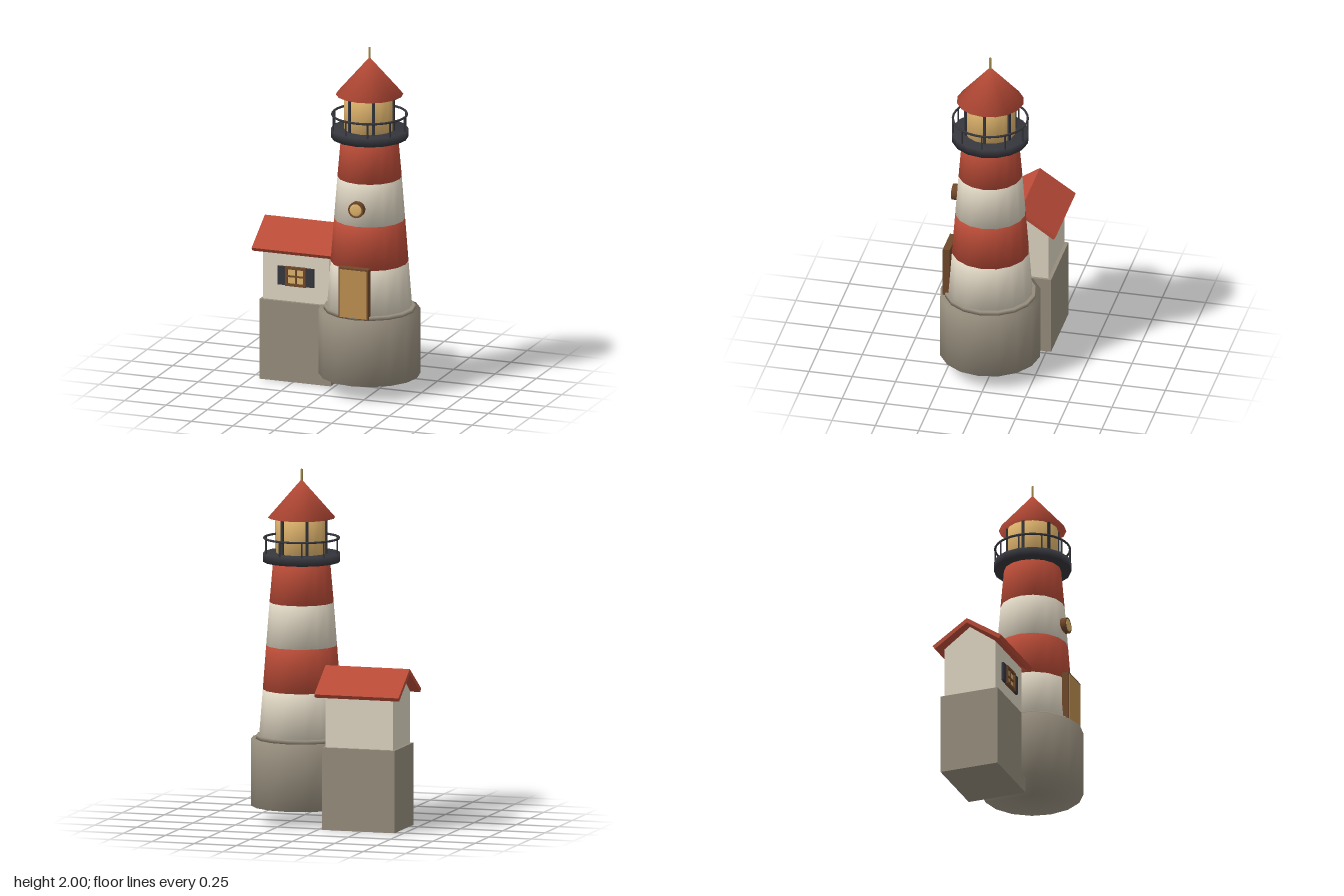
import * as THREE from 'three';
import { mergeVertices } from 'three/addons/utils/BufferGeometryUtils.js';

const mat = (name, color) => Object.assign(new THREE.MeshStandardMaterial({ color }), { name });

export function createModel() {
  const red = mat('red', 0xb94b37);
  const cream = mat('cream', 0xded5c2);
  const stone = mat('stone', 0x968d7d);
  const iron = mat('dark iron', 0x36373d);
  const glow = mat('warm glass', 0xdeb36c);
  const wood = mat('door wood', 0xbd8f50);
  const darkWood = mat('dark wood', 0x70482a);
  const brass = mat('brass', 0xab9350);

  const model = new THREE.Group();
  model.name = 'lighthouse';
  const tower = new THREE.Group();
  tower.name = 'tower';
  tower.position.set(0.196, 0, 0.023);
  const house = new THREE.Group();
  house.name = 'house';
  house.position.set(-0.236, 0, -0.105);
  model.add(tower, house);

  function add(parent, name, geometry, material, x = 0, y = 0, z = 0) {
    const mesh = new THREE.Mesh(geometry, material);
    mesh.name = name;
    mesh.position.set(x, y, z);
    parent.add(mesh);
    return mesh;
  }
  const box = (parent, name, material, w, h, d, x, y, z) =>
    add(parent, name, new THREE.BoxGeometry(w, h, d), material, x, y, z);

  // Closed round section with normals blended over its rims
  function round(name, material, rBottom, rTop, y0, y1, sides = 16) {
    let g = new THREE.CylinderGeometry(rTop, rBottom, y1 - y0, sides);
    g.deleteAttribute('normal');
    g.deleteAttribute('uv');
    g = mergeVertices(g, 1e-5);
    g.computeVertexNormals();
    return add(tower, name, g, material, 0, (y0 + y1) / 2, 0);
  }

  // Stone base and ledge
  round('base', stone, 0.286, 0.286, 0.09, 0.47);
  round('ledge', stone, 0.259, 0.257, 0.47, 0.491);

  // Striped shaft
  const levels = [0.48, 0.75, 1.0, 1.245, 1.475];
  const radii = [0.24, 0.219, 0.2, 0.181, 0.161];
  for (let i = 0; i < 4; i++) {
    round('band' + (i + 1), i % 2 ? red : cream, radii[i], radii[i + 1], levels[i], levels[i + 1]);
  }

  // Gallery deck and railing
  round('galleryDeck', iron, 0.218, 0.218, 1.475, 1.525);
  const rail = new THREE.TorusGeometry(0.211, 0.0065, 6, 32);
  rail.rotateX(Math.PI / 2);
  add(tower, 'handrail', rail, iron, 0, 1.609, 0);
  const post = new THREE.CylinderGeometry(0.005, 0.005, 0.09, 6);
  for (let i = 0; i < 10; i++) {
    const a = (i / 10) * Math.PI * 2;
    add(tower, 'railPost', post, iron, 0.211 * Math.cos(a), 1.565, 0.211 * Math.sin(a));
  }

  // Lantern room with six glazing bars
  round('lantern', glow, 0.143, 0.143, 1.52, 1.73);
  const bar = new THREE.BoxGeometry(0.016, 0.205, 0.016);
  for (let i = 0; i < 6; i++) {
    const a = (i / 6) * Math.PI * 2;
    add(tower, 'glazingBar', bar, iron, 0.143 * Math.cos(a), 1.625, 0.143 * Math.sin(a)).rotation.y = -a;
  }

  // Roof and finial
  round('lanternRoof', red, 0.19, 0, 1.725, 1.942);
  round('finial', brass, 0.007, 0.007, 1.925, 2.0, 8);

  // Door
  box(tower, 'doorFrame', darkWood, 0.18, 0.295, 0.04, 0, 0.6225, 0.234);
  box(tower, 'doorPanel', wood, 0.162, 0.28, 0.004, 0, 0.62, 0.2545);

  // Porthole
  const ring = new THREE.CylinderGeometry(0.046, 0.046, 0.04, 20);
  ring.rotateX(Math.PI / 2);
  add(tower, 'portholeFrame', ring, darkWood, 0, 1.102, 0.197);
  const pane = new THREE.SphereGeometry(0.036, 20, 6, 0, Math.PI * 2, 0, Math.PI / 2);
  pane.rotateX(Math.PI / 2);
  pane.scale(1, 1, 0.15);
  add(tower, 'portholeGlass', pane, glow, 0, 1.102, 0.2175);

  // House: solids with a constant gable section along x
  function gableSolid(name, material, points, length) {
    const shape = new THREE.Shape(points.map(([x, y]) => new THREE.Vector2(x, y)));
    const g = new THREE.ExtrudeGeometry(shape, { depth: length, bevelEnabled: false });
    g.translate(0, 0, -length / 2);
    g.rotateY(Math.PI / 2);
    return add(house, name, g, material);
  }
  box(house, 'foundation', stone, 0.43, 0.468, 0.344, 0, 0.234, 0);
  gableSolid('houseWalls', cream,
    [[-0.153, 0.465], [0.153, 0.465], [0.153, 0.765], [0, 0.877], [-0.153, 0.765]], 0.4);
  gableSolid('houseRoof', red,
    [[-0.207, 0.773], [-0.194, 0.753], [0, 0.884], [0.194, 0.753], [0.207, 0.773], [0, 0.911]], 0.498);

  // House window with shutters
  const win = new THREE.Group();
  win.name = 'window';
  win.position.set(0.001, 0.617, 0.153);
  house.add(win);
  box(win, 'windowGlass', glow, 0.11, 0.1, 0.008, 0, 0, 0.004);
  for (const s of [-1, 1]) {
    box(win, 'frameSide', darkWood, 0.014, 0.112, 0.02, s * 0.055, 0, 0.01);
    box(win, 'frameRail', darkWood, 0.124, 0.014, 0.02, 0, s * 0.049, 0.01);
    box(win, 'shutter', iron, 0.046, 0.108, 0.014, s * 0.086, 0, 0.007);
  }
  box(win, 'verticalBar', darkWood, 0.01, 0.09, 0.014, 0, 0, 0.007);
  box(win, 'horizontalBar', darkWood, 0.1, 0.01, 0.014, 0, 0, 0.007);

  return model;
}
